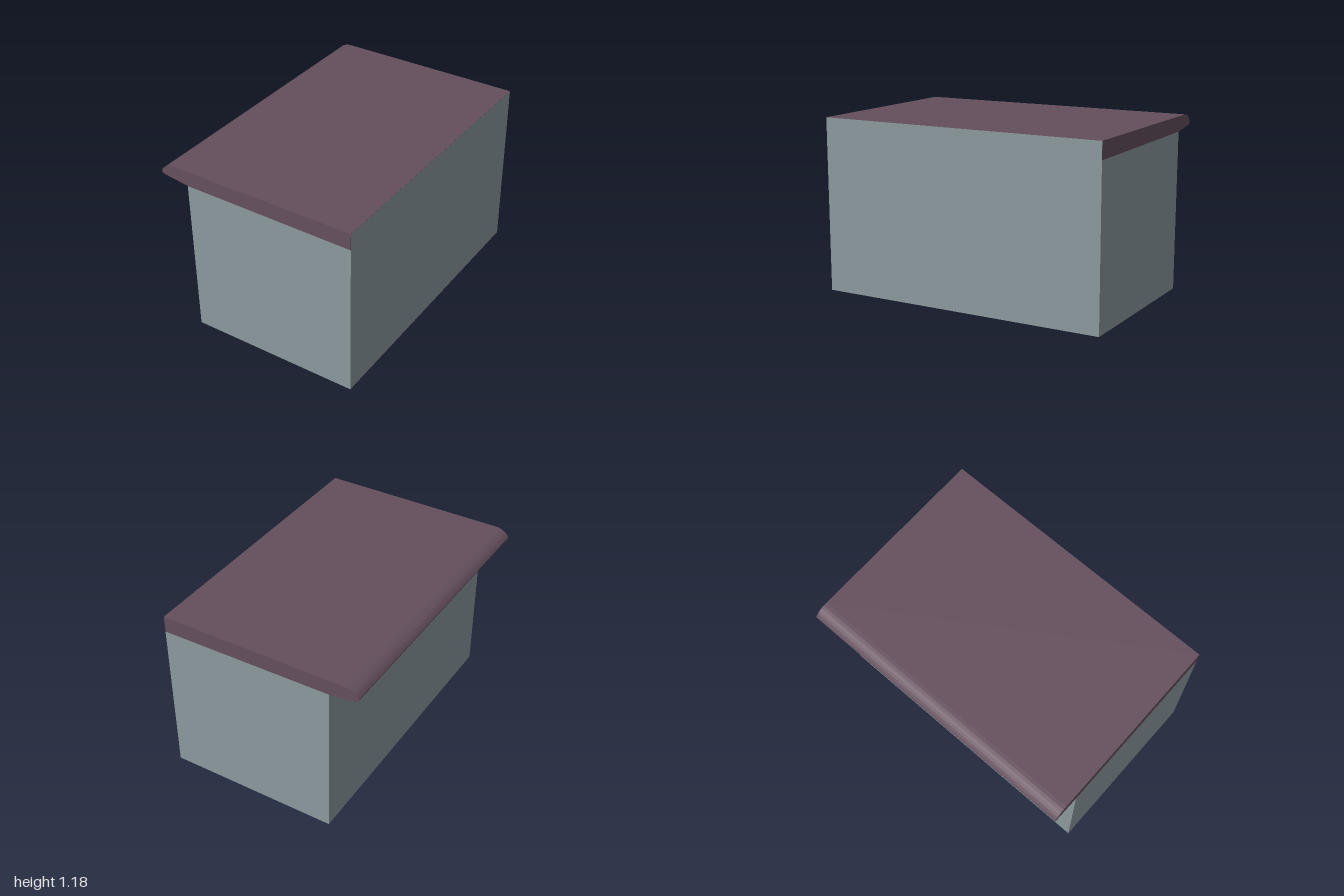
import * as THREE from 'three';

const LENGTH = 2;
const RIGHT = 0.695;

// Extrude an x/y profile along z, centred on z = 0
function extrudeProfile(name, shape, material) {
  const geometry = new THREE.ExtrudeGeometry(shape, { depth: LENGTH, bevelEnabled: false, curveSegments: 6 });
  geometry.translate(0, 0, -LENGTH / 2);
  const mesh = new THREE.Mesh(geometry, material);
  mesh.name = name;
  return mesh;
}

export function createModel() {
  const stone = new THREE.MeshStandardMaterial({ color: 0x8c999e });
  stone.name = 'blueGreyStone';
  const plum = new THREE.MeshStandardMaterial({ color: 0x644f5d });
  plum.name = 'plumSlab';

  const group = new THREE.Group();
  group.name = 'counterBlock';

  // Body: slightly leaning face under the overhang
  const body = new THREE.Shape([
    new THREE.Vector2(-0.483, 0),
    new THREE.Vector2(RIGHT, 0),
    new THREE.Vector2(RIGHT, 1.066),
    new THREE.Vector2(-0.495, 1.077),
  ]);
  group.add(extrudeProfile('body', body, stone));

  // Top slab with a rounded nose overhanging the body
  const end = RIGHT - 0.001;
  const slab = new THREE.Shape();
  slab.moveTo(-0.495, 1.077);
  slab.lineTo(end, 1.066);
  slab.lineTo(end, 1.18);
  slab.lineTo(-0.595, 1.18);
  slab.bezierCurveTo(-0.645, 1.18, -0.675, 1.158, -0.695, 1.127);
  slab.bezierCurveTo(-0.697, 1.108, -0.68, 1.101, -0.65, 1.098);
  slab.lineTo(-0.495, 1.077);
  group.add(extrudeProfile('topSlab', slab, plum));

  // Flush cover that carries the body colour up over the slab's square end
  const height = 1.18 - 1.066;
  const cover = new THREE.Mesh(new THREE.PlaneGeometry(LENGTH, height), stone);
  cover.name = 'slabEndCover';
  cover.rotation.y = Math.PI / 2;
  cover.position.set(RIGHT, 1.066 + height / 2, 0);
  group.add(cover);

  return group;
}
